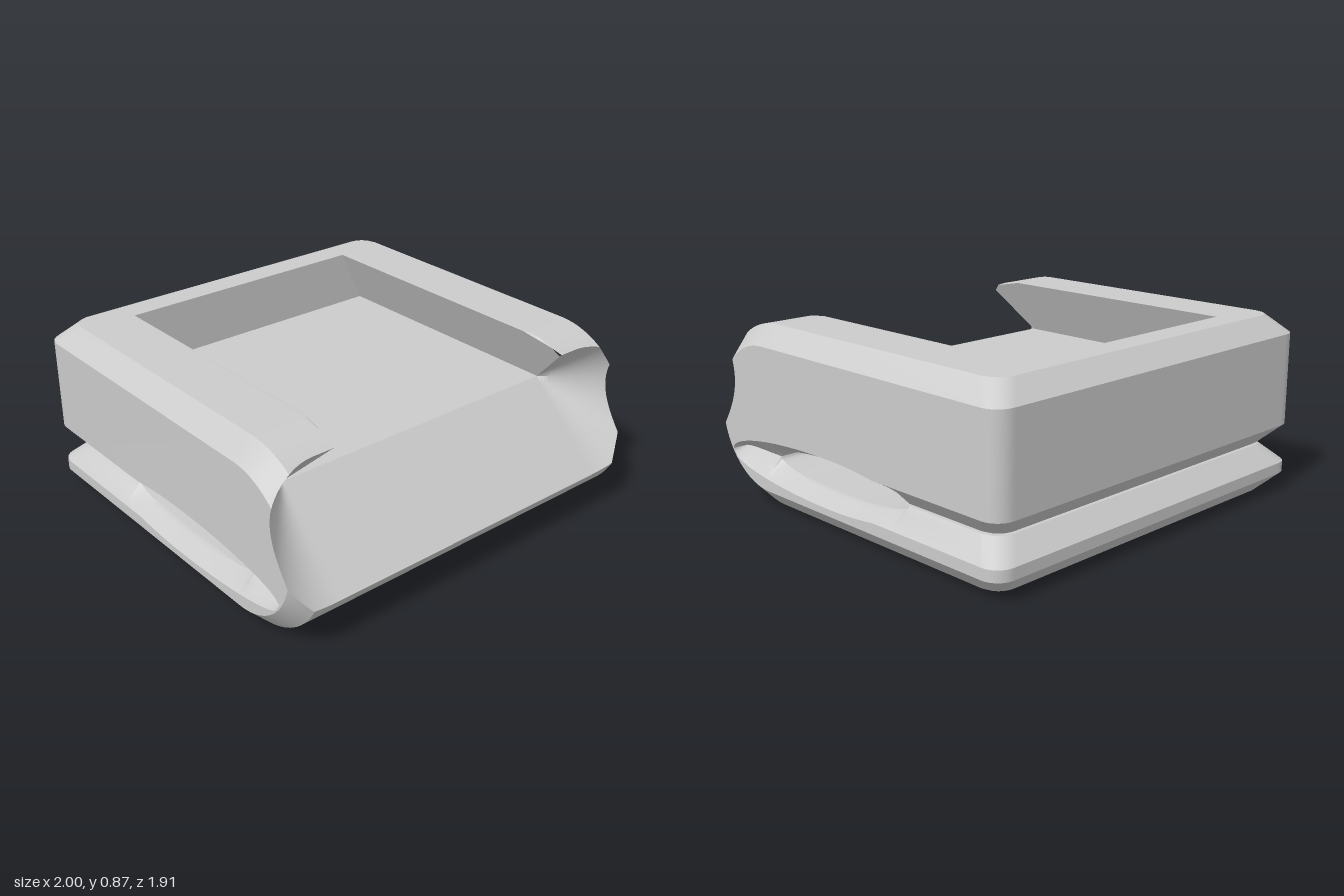
import * as THREE from 'three';
import { toCreasedNormals } from 'three/addons/utils/BufferGeometryUtils.js';

// Main dimensions
const C = 0.09;                       // edge chamfer and corner radius
const H = 0.87, BACK = -0.955;        // height, rear face
const R = H / 2, ZC = 0.57;           // rounded nose: radius and centre z
const FLOOR = 0.6, POCKET_BACK = -0.735, X_TOP = 0.645, X_FLOOR = 0.77;
const SLOT = 0.238, GAP = 0.005;      // slot centre height, half gap
const HOLE_Z = 0.12, HOLE_A = 0.46, HOLE_B = 0.07;

const lerp = (a, b, n) => Array.from({ length: n + 1 }, (_, i) => a + (b - a) * i / n);

// Stations across the width (half of the model, mirrored later)
const center = [0, X_TOP];
const lip = lerp(X_TOP, X_FLOOR, 8);
const rim = lerp(X_FLOOR, 1 - C, 10);
const edge = lerp(0, Math.PI / 2, 8).map(a => 1 - C + C * Math.sin(a));
const join = (...lists) => lists.reduce((a, b) => a.concat(b.slice(1)));
const inner = join(center, lip, rim), all = join(inner, edge);

// Cross-section rules at width x; every point is [z, y]
const inset = x => Math.max(0, x - (1 - C));
const tMax = x => Math.min(C, 1 - x);
const zBack = (x, t) => {
  const u = Math.min(C, Math.max(0, x - (1 - C) + t));
  return BACK + t + C - Math.sqrt(C * C - u * u);
};
const ceiling = x => FLOOR + (H - FLOOR) * (X_FLOOR - x) / (X_FLOOR - X_TOP);
const coneX = x => Math.max(0, x - X_FLOOR);
const coneZ = (x, y) => ZC + Math.hypot(coneX(x), y - FLOOR);
const arcZ = (x, y) => ZC + Math.sqrt(Math.max(0, (R - inset(x)) ** 2 - (y - R) ** 2));
// Height where the nose arc meets the front cut (sign: -1 lower, 1 upper)
const meetY = (x, sign) => {
  const k = FLOOR - R, r = R - inset(x);
  const c = coneX(x) ** 2 + k * k - r * r;
  return R + (2 * k + sign * Math.sqrt(4 * k * k - 8 * c)) / 4;
};
const arc = (x, y0, y1, n) => {
  const r = R - inset(x);
  const ang = y => Math.asin(Math.max(-1, Math.min(1, (y - R) / r)));
  return lerp(ang(y0), ang(y1), n).map(a => [ZC + r * Math.cos(a), R + r * Math.sin(a)]);
};
const lipStart = x => (x < X_FLOOR ? ceiling(x) : FLOOR);

const bottom = x => [[zBack(x, tMax(x)), inset(x)], ...arc(x, inset(x), meetY(x, -1), 16)];
const ramp = x => lerp(meetY(x, -1), FLOOR, 12).map(y => [coneZ(x, y), y]);
const lipFront = x => lerp(Math.min(lipStart(x), meetY(x, 1)), meetY(x, 1), 8).map(y => [coneZ(x, y), y]);
const top = x => [...arc(x, Math.max(lipStart(x), meetY(x, 1)), H - inset(x), 10),
  [zBack(x, tMax(x)), H - inset(x)]];
const backTop = x => [[-0.865, H], [POCKET_BACK, H]].reverse();
const tSteps = x => lerp(0, tMax(x), 6);
const upperChamfer = x => tSteps(x).reverse().map(t => [zBack(x, t), H - C + t]);
const upperWall = x => [[zBack(x, 0), H - C], [zBack(x, 0), SLOT + C + GAP]];
const upperLip = x => tSteps(x).map(t => [zBack(x, t), SLOT + C + GAP - t]);
const lowerLip = x => tSteps(x).reverse().map(t => [zBack(x, t), SLOT - C - GAP + t]);
const lowerWall = x => [[zBack(x, 0), SLOT - C - GAP], [zBack(x, 0), C]];
const lowerChamfer = x => tSteps(x).map(t => [zBack(x, t), C - t]);

// Slot: narrow gap at the rear, oval opening, flaring out toward the sides
const holeHalf = z => {
  const e = HOLE_B * Math.sqrt(Math.max(0, 1 - ((z - HOLE_Z) / HOLE_A) ** 2));
  return z < HOLE_Z ? Math.max(GAP, e) : e;
};
const flareHalf = z => {
  const a = z < HOLE_Z ? 0.567 : 0.73;
  const e = 0.115 * Math.sqrt(Math.max(0, 1 - ((z - HOLE_Z) / a) ** 2));
  return z < HOLE_Z ? Math.max(C + GAP, e) : e;
};
const holeZs = lerp(0, Math.PI, 32).map(a => HOLE_Z - HOLE_A * Math.cos(a));
const grooveZs = lerp(0, Math.PI / 2, 8).map(a => 0.58 + 0.27 * Math.sin(a)).slice(1);
const slotSide = (sign, groove) => x => {
  const k = inset(x) / C;
  const zs = [zBack(x, tMax(x)), ...holeZs, ...(groove ? grooveZs : [])];
  const pts = zs.map(z => [z, SLOT + sign * (holeHalf(z) * (1 - k) + flareHalf(z) * k)]);
  return sign > 0 ? pts : pts.reverse();
};

// Dovetail pocket
const floor = () => [[ZC, FLOOR], [POCKET_BACK, FLOOR]];
const pocketWall = x => [[POCKET_BACK, FLOOR], [POCKET_BACK, Math.min(H, ceiling(x))]];
const pocketCeiling = x => {
  const y = ceiling(x);
  return [[POCKET_BACK, y], [Math.min(coneZ(x, y), arcZ(x, y)), y]];
};

// Collects triangles on both halves, skipping collapsed ones
function addTriangle(out, a, b, c) {
  const [A, B, D] = [a, b, c].map(p => new THREE.Vector3(...p));
  if (B.clone().sub(A).cross(D.clone().sub(A)).length() < 1e-9) return;
  out.push(...a, ...b, ...c);
  const m = p => [-p[0], p[1], p[2]];
  out.push(...m(a), ...m(c), ...m(b));
}

// Skins a cross-section strip along the stations
function skin(out, xs, section) {
  const rows = xs.map(x => section(x).map(([z, y]) => [x, y, z]));
  for (let i = 0; i + 1 < rows.length; i++) {
    for (let j = 0; j + 1 < rows[i].length; j++) {
      const a = rows[i][j], b = rows[i + 1][j], c = rows[i + 1][j + 1], d = rows[i][j + 1];
      addTriangle(out, a, b, c);
      addTriangle(out, a, c, d);
    }
  }
}

// Flat side face closing the section at x = 1
function cap(out) {
  const parts = [bottom, ramp, lipFront, top, upperWall, slotSide(1, true), slotSide(-1, true), lowerWall];
  const pts = [];
  for (const [z, y] of parts.flatMap(f => f(1))) {
    const p = new THREE.Vector2(z, y);
    if (!pts.some(q => q.distanceTo(p) < 1e-5)) pts.push(p);
  }
  for (const f of THREE.ShapeUtils.triangulateShape(pts, [])) {
    const [a, b, c] = f.map(i => pts[i]);
    const ccw = (b.x - a.x) * (c.y - a.y) - (b.y - a.y) * (c.x - a.x) > 0;
    const [p, q, r] = (ccw ? [a, c, b] : [a, b, c]).map(v => [1, v.y, v.x]);
    addTriangle(out, p, q, r);
  }
}

export function createModel() {
  const group = new THREE.Group();
  const material = new THREE.MeshStandardMaterial({ color: 0xcccccc });
  const addPart = (name, build) => {
    const out = [];
    build(out);
    const geo = new THREE.BufferGeometry();
    geo.setAttribute('position', new THREE.Float32BufferAttribute(out, 3));
    const mesh = new THREE.Mesh(toCreasedNormals(geo, 0.5), material);
    mesh.name = name;
    group.add(mesh);
  };

  // Outer shell: underside, nose, top rim, rear walls and sides
  addPart('outerShell', out => {
    [bottom, upperChamfer, upperWall, upperLip, lowerLip, lowerWall, lowerChamfer]
      .forEach(f => skin(out, all, f));
    skin(out, center, () => [[POCKET_BACK, H], [BACK + C, H]]);
    skin(out, join(lip, rim, edge), top);
    cap(out);
  });
  // Ramp with conical ends cut into the nose
  addPart('frontRamp', out => {
    skin(out, all, ramp);
    skin(out, join(lip, rim, edge), lipFront);
  });
  // Undercut pocket open to the front
  addPart('dovetailPocket', out => {
    skin(out, join(center, lip), floor);
    skin(out, join(center, lip), pocketWall);
    skin(out, lip, pocketCeiling);
  });
  // Slot with oval opening and flared side mouths
  addPart('clipSlot', out => {
    for (const sign of [1, -1]) {
      skin(out, inner, slotSide(sign, false));
      skin(out, edge, slotSide(sign, true));
    }
  });
  return group;
}
